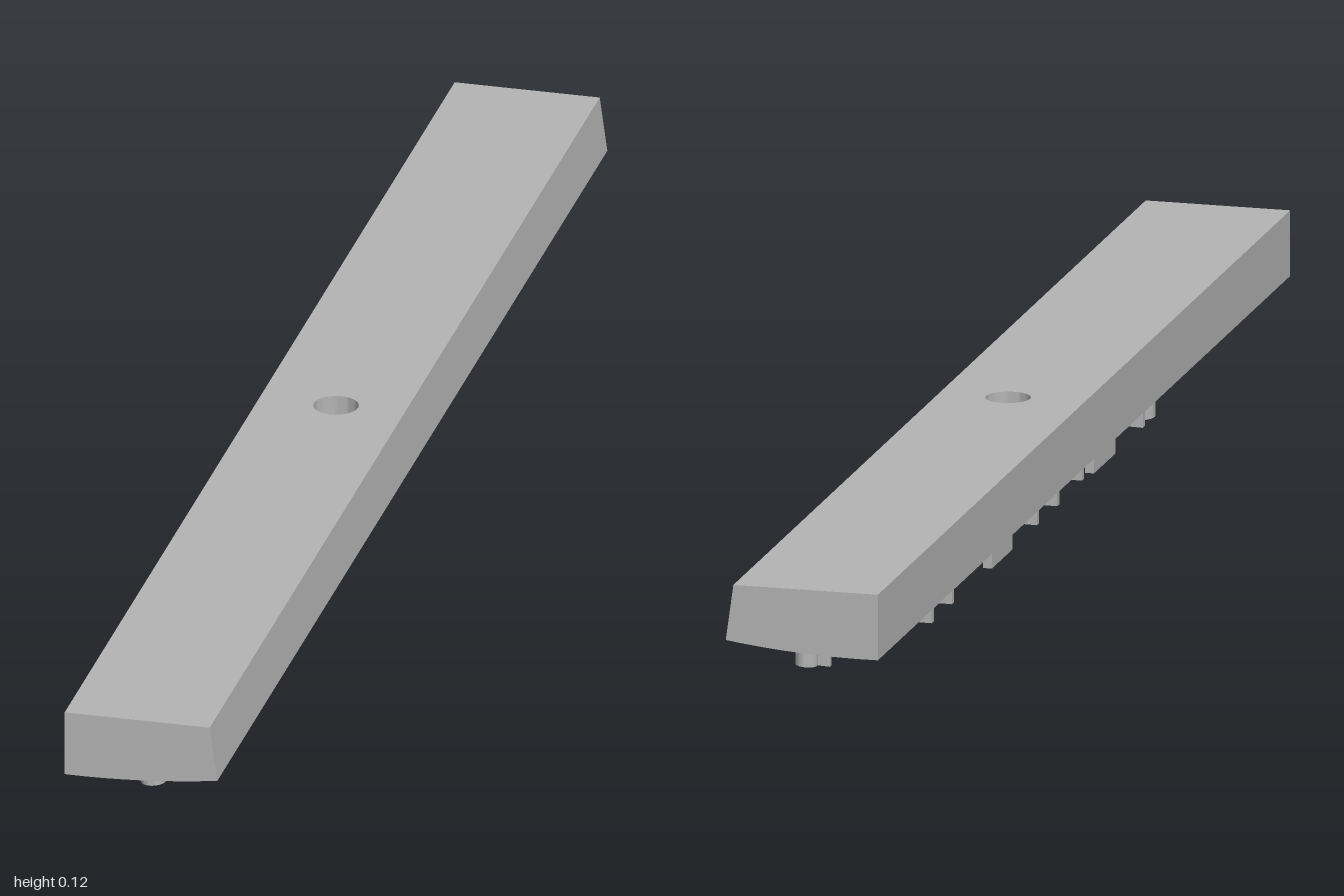
import * as THREE from 'three';
import { toCreasedNormals } from 'three/addons/utils/BufferGeometryUtils.js';

const TOP = 0.115, RELIEF = 0.029, HALF = 0.04, STEPS = 8;

// Height of the gently curved underside at a given x
const underside = (x) => 0.0315 + 0.065 * x + 0.4 * x * x;

export function createModel() {
  const group = new THREE.Group();
  const grey = new THREE.MeshStandardMaterial({ color: 0xb4b4b4 });
  grey.name = 'plain grey';

  const add = (name, geometry) => {
    const mesh = new THREE.Mesh(toCreasedNormals(geometry, 0.4), grey);
    mesh.name = name;
    group.add(mesh);
    return mesh;
  };

  // Upright extrusion of a plan outline, its ends moved to follow a rule
  const slab = (shape, rule) => {
    const g = new THREE.ExtrudeGeometry(shape, { depth: 1, bevelEnabled: false, curveSegments: 16 });
    g.rotateX(-Math.PI / 2);
    const p = g.attributes.position;
    for (let i = 0; i < p.count; i++) {
      const [x, y] = rule(p.getX(i), p.getY(i) > 0.5);
      p.setX(i, x);
      p.setY(i, y);
    }
    return g;
  };

  const xs = Array.from({ length: STEPS + 1 }, (_, i) => -0.1 + (0.2 * i) / STEPS);

  // Two long lengths of the bar, with one slanted side
  const profile = new THREE.Shape([
    ...xs.map((x) => new THREE.Vector2(x, underside(x))),
    new THREE.Vector2(0.09, TOP),
    new THREE.Vector2(-0.1, TOP),
  ]);
  for (const z of [HALF, -1]) {
    const g = new THREE.ExtrudeGeometry(profile, { depth: 1 - HALF, bevelEnabled: false });
    g.translate(0, 0, z);
    add('barLength', g);
  }

  // Short middle length with the round through hole
  const middle = new THREE.Shape([
    ...xs.map((x) => new THREE.Vector2(x, -HALF)),
    ...[...xs].reverse().map((x) => new THREE.Vector2(x, HALF)),
  ]);
  middle.holes.push(new THREE.Path().absarc(0, 0, 0.029, 0, Math.PI * 2, true));
  add('drilledMiddle', slab(middle, (x, top) => (top ? [Math.min(x, 0.09), TOP] : [x, underside(x)])));

  // Raised parts hang below the underside and follow its curve
  const raise = (name, shape) =>
    add(name, slab(shape, (x, top) => [x, underside(x) + (top ? 0.004 : -RELIEF)]));

  const rib = (x0, x1, z0, z1) =>
    raise('rib', new THREE.Shape([
      new THREE.Vector2(x0, -z1), new THREE.Vector2(x1, -z1),
      new THREE.Vector2(x1, -z0), new THREE.Vector2(x0, -z0),
    ]));
  const pin = (x, z, r) =>
    raise('pin', new THREE.Shape().absarc(x, -z, r, 0, Math.PI * 2, false));
  const ring = (x, z, r, wall) => {
    const s = new THREE.Shape().absarc(x, -z, r, 0, Math.PI * 2, false);
    s.holes.push(new THREE.Path().absarc(x, -z, r - wall, 0, Math.PI * 2, true));
    raise('ring', s);
  };
  const arch = (x, z, r, wall) => {
    const s = new THREE.Shape();
    s.absarc(x, -z, r, -Math.PI / 2, Math.PI / 2, false);
    s.absarc(x, -z, r - wall, Math.PI / 2, -Math.PI / 2, true);
    raise('arch', s);
  };

  // Pins, two with a narrow tail
  pin(0, 0.935, 0.016);
  pin(-0.05, 0.054, 0.016);
  rib(-0.085, -0.055, 0.046, 0.054);
  pin(0.008, -0.948, 0.014);
  rib(-0.022, 0.005, -0.945, -0.937);

  // Single ribs
  rib(0.012, 0.06, 0.613, 0.622);
  rib(-0.09, -0.078, 0.085, 0.19);
  rib(-0.09, -0.078, -0.41, -0.31);

  // Rib frame with two rings
  rib(0.008, 0.02, 0.3, 0.44);
  rib(-0.09, 0.01, 0.322, 0.333);
  ring(-0.018, 0.372, 0.028, 0.01);
  ring(-0.062, 0.38, 0.028, 0.01);

  // Two arches, each with a cross rib and short legs
  for (const z of [-0.13, -0.64]) {
    arch(-0.03, z, 0.045, 0.011);
    rib(-0.055, -0.045, z - 0.05, z + 0.045);
    rib(-0.05, -0.028, z + 0.034, z + 0.045);
    rib(-0.088, -0.028, z - 0.055, z - 0.044);
    rib(-0.088, -0.05, z + 0.044, z + 0.054);
    rib(-0.048, -0.005, z - 0.004, z + 0.004);
  }
  return group;
}
